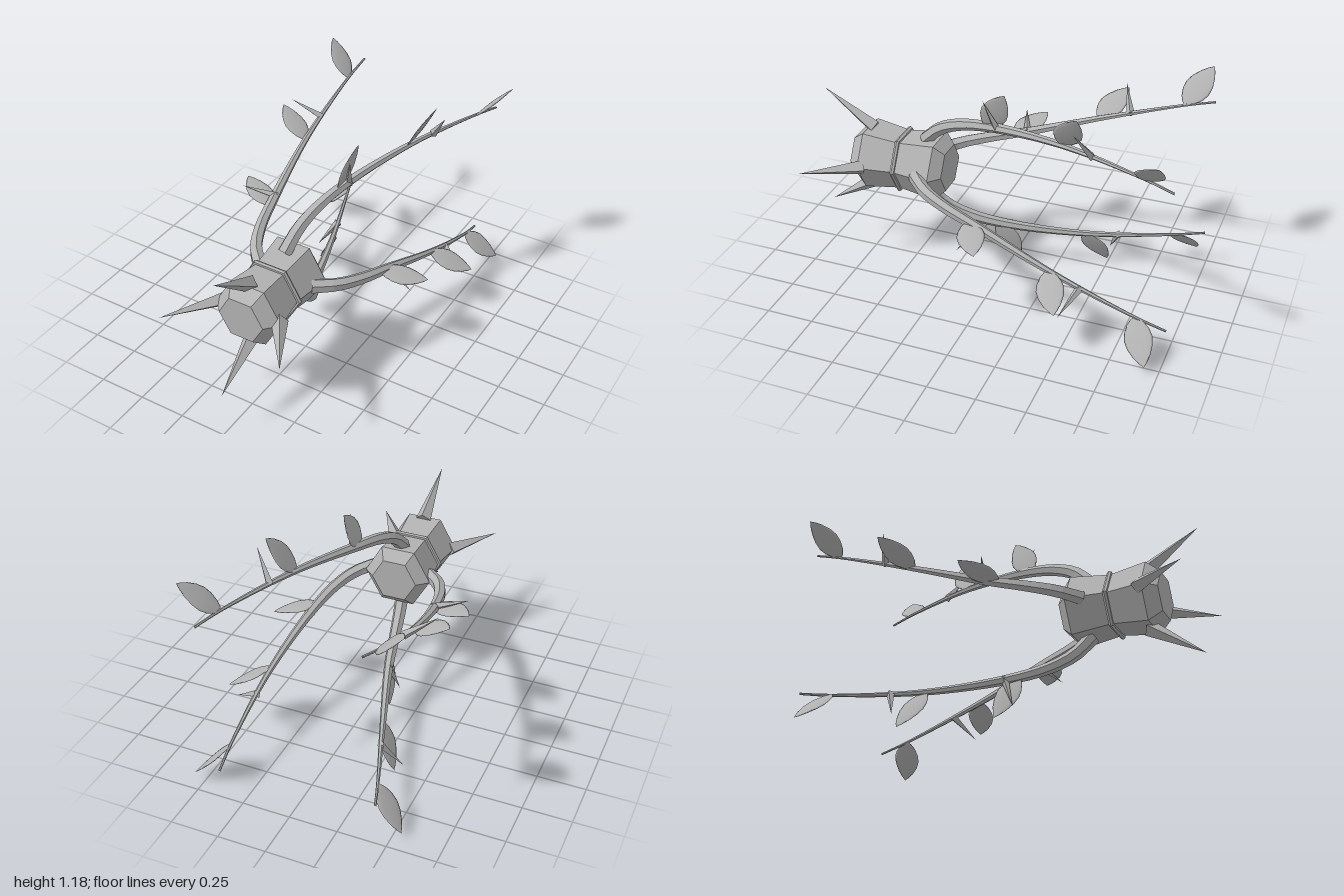
import * as THREE from 'three';

const AXIS_Y = 0.6165;

// Gives a geometry hard facets
function faceted(geo) {
  const g = geo.index ? geo.toNonIndexed() : geo;
  g.computeVertexNormals();
  return g;
}

// Mesh whose local +y runs from a to b, with its thin local z across the radial plane
function place(name, geo, material, a, b) {
  const y = b.clone().sub(a).normalize();
  const mid = a.clone().add(b).multiplyScalar(0.5);
  const u = new THREE.Vector3(mid.x, mid.y, 0).normalize();
  const z = new THREE.Vector3().crossVectors(new THREE.Vector3(0, 0, 1), u);
  z.addScaledVector(y, -z.dot(y)).normalize();
  const x = new THREE.Vector3().crossVectors(y, z);
  const mesh = new THREE.Mesh(geo, material);
  mesh.name = name;
  mesh.quaternion.setFromRotationMatrix(new THREE.Matrix4().makeBasis(x, y, z));
  mesh.position.copy(a);
  return mesh;
}

// Four-sided pointed cone standing on its base
function spikeGeometry(radius, length) {
  return faceted(new THREE.ConeGeometry(radius, length, 4).translate(0, length / 2, 0));
}

// Tube that narrows towards its far end
function taperedTube(curve, r0, r1, steps, sides) {
  const geo = new THREE.TubeGeometry(curve, steps, 1, sides, false);
  const pos = geo.attributes.position;
  const v = new THREE.Vector3();
  for (let i = 0; i <= steps; i++) {
    const t = i / steps;
    const c = curve.getPointAt(t);
    const r = r1 + (r0 - r1) * Math.pow(1 - t, 1.3);
    for (let j = 0; j <= sides; j++) {
      const k = i * (sides + 1) + j;
      v.fromBufferAttribute(pos, k).sub(c).multiplyScalar(r).add(c);
      pos.setXYZ(k, v.x, v.y, v.z);
    }
  }
  return faceted(geo);
}

export function createModel() {
  const model = new THREE.Group();
  model.name = 'thornyVineBlaster';
  const grey = new THREE.MeshStandardMaterial({ color: 0xb3b3b3 });
  grey.name = 'plain grey';
  const V = (x, y, z) => new THREE.Vector3(x, y, z);

  const core = new THREE.Group();
  core.name = 'core';
  core.position.y = AXIS_Y;
  model.add(core);

  // Waisted hexagonal body
  const profile = [[0, 0.292], [0.124, 0.292], [0.183, 0.345], [0.155, 0.55], [0.183, 0.742], [0.124, 0.808], [0, 0.808]]
    .map(([r, z]) => new THREE.Vector2(r, z));
  const body = new THREE.Mesh(
    faceted(new THREE.LatheGeometry(profile, 6, Math.PI / 2).rotateX(Math.PI / 2)), grey);
  body.name = 'body';
  core.add(body);

  // Ring round the waist
  const ring = new THREE.Mesh(faceted(new THREE.TorusGeometry(0.162, 0.013, 6, 6)), grey);
  ring.name = 'waistRing';
  ring.position.z = 0.55;
  core.add(ring);

  // Shared vine pieces
  const curve = new THREE.CatmullRomCurve3([
    V(0, 0.145, 0.425), V(0.018, 0.235, 0.33), V(0.045, 0.295, 0.2), V(0.095, 0.34, 0),
    V(0.23, 0.39, -0.4), V(0.385, 0.39, -0.83), V(0.44, 0.375, -0.99),
  ]);
  const vineGeo = taperedTube(curve, 0.038, 0.006, 28, 6);
  const leafLength = 0.25;
  const leafOutline = [[0, 0], [0.02, 0.04], [0.042, 0.13], [0.062, 0.28], [0.07, 0.43], [0.063, 0.6], [0.043, 0.78], [0.021, 0.91], [0, 1]]
    .map(([w, t]) => new THREE.Vector2(w, t * leafLength));
  const leafGeo = new THREE.LatheGeometry(leafOutline, 12).scale(1, 1, 0.11);
  const thornGeo = spikeGeometry(0.022, 0.19);
  const frontSpikeGeo = spikeGeometry(0.042, 0.33);

  // Base and tip of each leaf and thorn beside the vine
  const leaves = [
    [V(0.08, 0.325, 0.055), V(0.127, 0.545, -0.06)],
    [V(0.225, 0.39, -0.385), V(0.337, 0.605, -0.495)],
    [V(0.39, 0.385, -0.83), V(0.565, 0.565, -0.945)],
  ];
  const thorns = [
    [V(0.1, 0.33, -0.015), V(0.142, 0.505, 0.05)],
    [V(0.283, 0.39, -0.555), V(0.38, 0.542, -0.488)],
  ];

  // Four turns of spike, vine, leaves and thorns
  for (let i = 0; i < 4; i++) {
    const arm = new THREE.Group();
    arm.name = 'arm' + (i + 1);
    arm.rotation.z = i * Math.PI / 2;
    const vine = new THREE.Mesh(vineGeo, grey);
    vine.name = 'vine';
    arm.add(vine);
    arm.add(place('frontSpike', frontSpikeGeo, grey, V(0, 0.158, 0.717), V(0, 0.338, 0.993)));
    for (const [a, b] of leaves) arm.add(place('leaf', leafGeo, grey, a, b));
    for (const [a, b] of thorns) arm.add(place('thorn', thornGeo, grey, a, b));
    core.add(arm);
  }
  return model;
}
